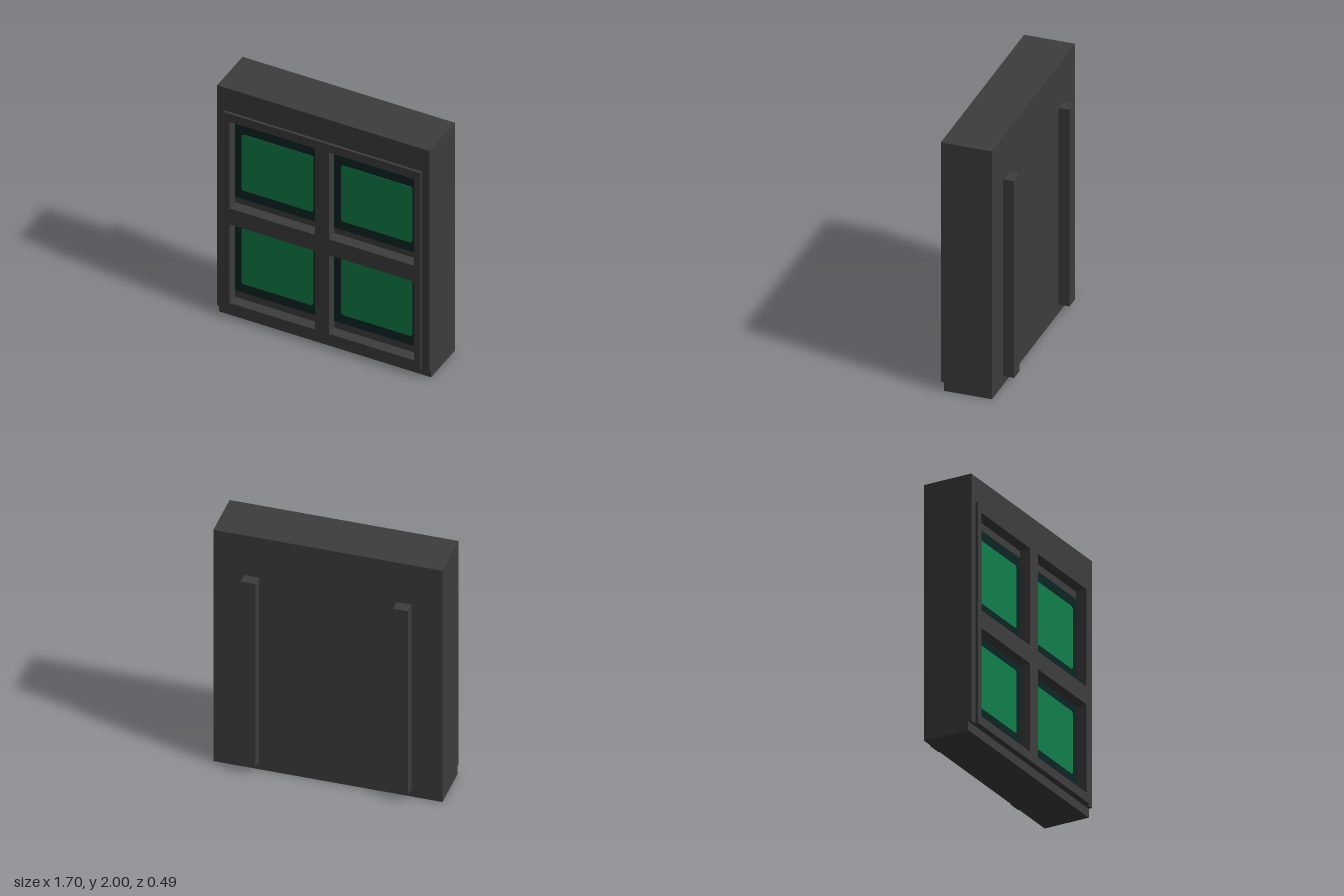
import * as THREE from 'three';

const BACK = -0.162, PANEL = 0.16, FRONT = 0.224, FACE = 0.245;
const CASING_X = 0.85, FRAME_X = 0.79, BASE_TOP = 0.07;
// Window openings as [x0, x1], and [y0, y1] with the base of the screen behind
const COLUMNS = [[-0.74, -0.055], [0.055, 0.737]];
const ROWS = [{ y0: 0.14, y1: 0.83, screen: 0.2 }, { y0: 0.97, y1: 1.73, screen: 1.02 }];

function material(name, color) {
  const m = new THREE.MeshStandardMaterial({ color });
  m.name = name;
  return m;
}

// Rectangle outline with optional clipped corners
function rectPoints(x0, x1, y0, y1, c = 0) {
  const p = c
    ? [[x0 + c, y0], [x1 - c, y0], [x1, y0 + c], [x1, y1 - c], [x1 - c, y1], [x0 + c, y1], [x0, y1 - c], [x0, y0 + c]]
    : [[x0, y0], [x1, y0], [x1, y1], [x0, y1]];
  return p.map(([x, y]) => new THREE.Vector2(x, y));
}

export function createModel() {
  const group = new THREE.Group();
  const charcoal = material('charcoal casing', 0x3d3d3d);
  const glass = material('dark screen', 0x0c2424);
  const green = material('green display', 0x0f7f4a);

  function add(name, geometry, mat) {
    const mesh = new THREE.Mesh(geometry, mat);
    mesh.name = name;
    group.add(mesh);
  }

  function box(name, x0, x1, y0, y1, z0, z1, mat = charcoal) {
    const g = new THREE.BoxGeometry(x1 - x0, y1 - y0, z1 - z0);
    g.translate((x0 + x1) / 2, (y0 + y1) / 2, (z0 + z1) / 2);
    add(name, g, mat);
  }

  // Slab pierced by the four window openings
  function windowSlab(name, halfWidth, y0, y1, z0, z1) {
    const shape = new THREE.Shape(rectPoints(-halfWidth, halfWidth, y0, y1));
    for (const [x0, x1] of COLUMNS) {
      for (const r of ROWS) {
        shape.holes.push(new THREE.Path(rectPoints(x0, x1, r.y0, r.y1).reverse()));
      }
    }
    const g = new THREE.ExtrudeGeometry(shape, { depth: z1 - z0, bevelEnabled: false });
    g.translate(0, 0, z0);
    add(name, g, charcoal);
  }

  // Casing, front layers and plinth
  box('casing', -CASING_X, CASING_X, 0, 2, BACK, PANEL);
  box('plinth', -CASING_X, CASING_X, 0, BASE_TOP, PANEL, 0.199);
  windowSlab('casingFront', CASING_X, BASE_TOP, 2, PANEL, FRONT);
  windowSlab('windowFrame', FRAME_X, BASE_TOP, 1.8, FRONT, FACE);

  // Recessed screens with lit displays
  for (const [x0, x1] of COLUMNS) {
    for (const r of ROWS) {
      const top = Math.min(r.screen + 0.65, r.y1);
      box('screen', x0, x1, r.screen, top, PANEL, PANEL + 0.003, glass);
      const y = r.screen + 0.078;
      const shape = new THREE.Shape(rectPoints(x0 + 0.055, x1 - 0.055, y, y + 0.49, 0.014));
      const g = new THREE.ExtrudeGeometry(shape, { depth: 0.003, bevelEnabled: false });
      g.translate(0, 0, PANEL + 0.003);
      add('display', g, green);
    }
  }

  // Mounting rails on the back
  for (const s of [-1, 1]) {
    box('mountingRail', s * 0.565 - 0.055, s * 0.565 + 0.055, BASE_TOP, 1.657, -FACE, BACK);
  }
  return group;
}
